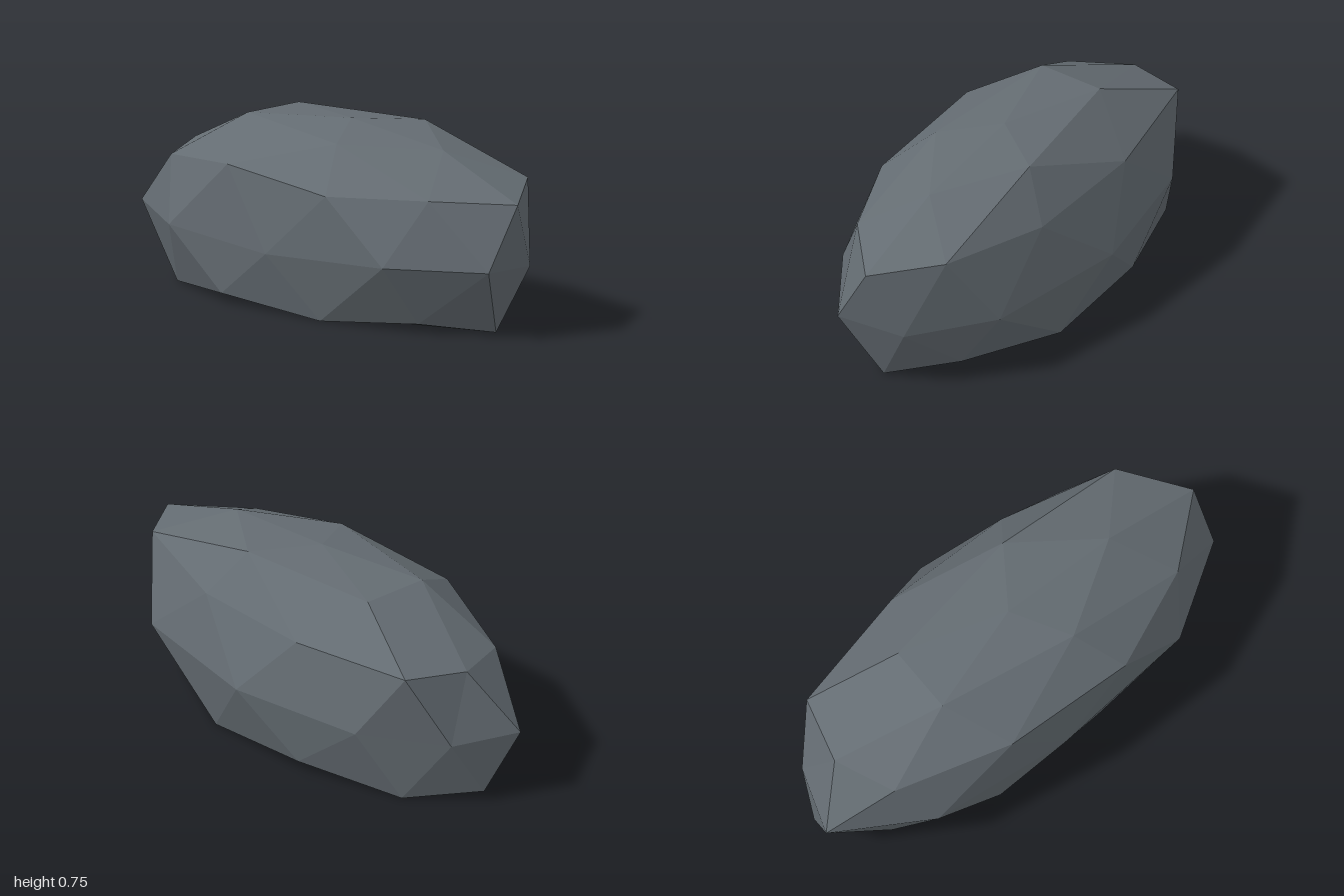
import * as THREE from 'three';

// Boulder cross-sections, each running from +x round through +z
const PEAK = [0.05, 0.75, 0.03];
const CROWN = [[0.57, 0.695, 0.025], [0.2, 0.7, 0.26], [-0.4, 0.725, 0.17], [-0.4, 0.725, -0.115], [0.22, 0.733, -0.215]];
const SHOULDER = [
  [1, 0.538, 0.03], [0.73, 0.547, 0.265], [0.32, 0.53, 0.44], [-0.25, 0.575, 0.43], [-0.73, 0.52, 0.275],
  [-0.84, 0.54, 0.03], [-0.77, 0.565, -0.235], [-0.24, 0.56, -0.355], [0.32, 0.55, -0.35], [0.8, 0.585, -0.222],
];
const WAIST = [
  [0.985, 0.278, 0.178], [0.62, 0.278, 0.415], [0, 0.25, 0.463], [-0.61, 0.27, 0.405], [-1, 0.28, 0.175],
  [-0.9, 0.27, -0.103], [-0.585, 0.28, -0.34], [0, 0.285, -0.465], [0.635, 0.285, -0.368], [0.93, 0.26, -0.107],
];
const FOOT = [
  [0.875, 0, 0.03], [0.67, 0.037, 0.265], [0.23, 0, 0.382], [-0.3, 0.038, 0.415], [-0.72, 0, 0.25],
  [-0.945, 0.04, 0.03], [-0.72, 0, -0.21], [-0.27, 0.037, -0.37], [0.23, 0, -0.375], [0.67, 0.037, -0.205],
];

function rockGeometry() {
  const positions = [];
  const tri = (a, b, c, flip) => positions.push(...a, ...(flip ? c : b), ...(flip ? b : c));

  // Closes a ring of ten through a ring of five to one centre point
  const cap = (centre, five, ten, shift, flip) => {
    for (let k = 0; k < 5; k++) {
      const a = five[k], b = five[(k + 1) % 5];
      const [p, q, r] = [0, 1, 2].map((n) => ten[(2 * k + shift + n) % 10]);
      tri(centre, b, a, flip);
      tri(a, b, q, flip);
      tri(a, q, p, flip);
      tri(b, r, q, flip);
    }
  };

  // Joins a ring of ten to the waist, whose points sit half a step further round
  const band = (ring, flip) => {
    for (let j = 0; j < 10; j++) {
      tri(ring[j], ring[(j + 1) % 10], WAIST[j], flip);
      tri(WAIST[j], WAIST[(j + 9) % 10], ring[j], flip);
    }
  };

  // Flat underside points lie inward of every other foot point
  const under = FOOT.filter((_, i) => i % 2).map(([x, , z]) => [x * 0.7, 0, z * 0.7]);

  cap(PEAK, CROWN, SHOULDER, 0, false);
  band(SHOULDER, false);
  band(FOOT, true);
  cap([0, 0, 0], under, FOOT, 1, true);

  const geometry = new THREE.BufferGeometry();
  geometry.setAttribute('position', new THREE.Float32BufferAttribute(positions, 3));
  geometry.computeVertexNormals(); // unshared corners keep every facet flat
  return geometry;
}

export function createModel() {
  const slate = new THREE.MeshStandardMaterial({ color: 0x646c72 });
  slate.name = 'slate grey';
  const boulder = new THREE.Mesh(rockGeometry(), slate);
  boulder.name = 'boulder';
  const group = new THREE.Group();
  group.name = 'rock';
  group.add(boulder);
  return group;
}
